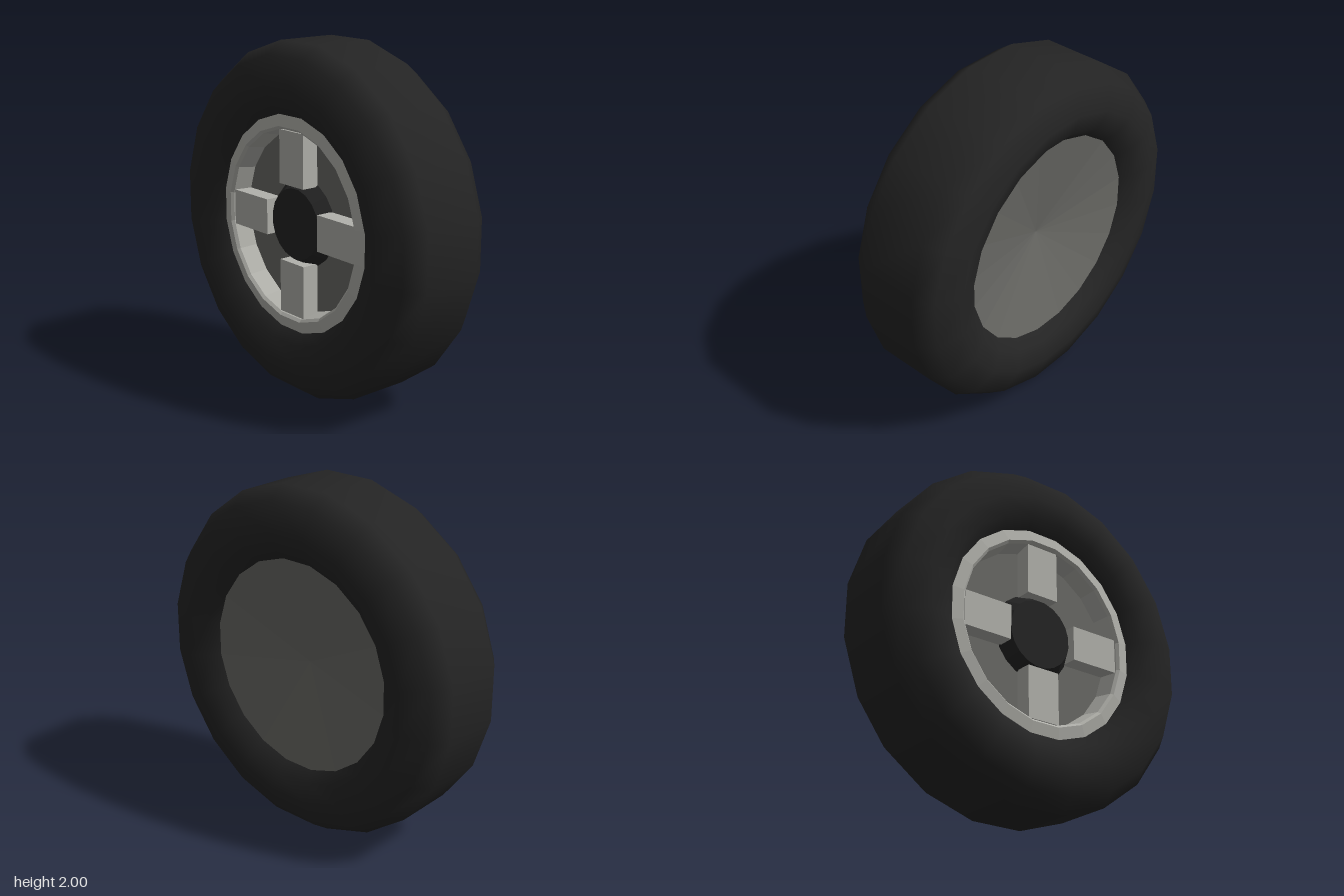
import * as THREE from 'three';

const SIDES = 20;
const HALF_STEP = Math.PI / SIDES;

function material(name, color) {
  const m = new THREE.MeshStandardMaterial({ color });
  m.name = name;
  return m;
}

// Revolves [flat radius, z] points around the z axis, with flats on the x and y axes
function revolve(profile, faceted) {
  const points = profile.map(([r, z]) => new THREE.Vector2(r / Math.cos(HALF_STEP), z));
  let geometry = new THREE.LatheGeometry(points, SIDES, HALF_STEP);
  geometry.rotateX(Math.PI / 2);
  if (faceted) {
    geometry = geometry.toNonIndexed();
    geometry.computeVertexNormals();
  }
  return geometry;
}

export function createModel() {
  const wheel = new THREE.Group();
  wheel.name = 'wheel';
  const rubber = material('black rubber', 0x242424);
  const lightMetal = material('light metal', 0xb2b2ac);
  const darkMetal = material('dark metal', 0x6a6a66);

  function add(name, geometry, mat) {
    const mesh = new THREE.Mesh(geometry, mat);
    mesh.name = name;
    mesh.position.y = 1;
    wheel.add(mesh);
    return mesh;
  }

  // Smooth tire, symmetric front to back
  const side = [[0.61, 0.245], [0.67, 0.3], [0.78, 0.333], [0.93, 0.282], [1, 0.18]];
  const front = side.slice().reverse();
  add('tire', revolve([...side.map(([r, z]) => [r, -z]), ...front], false), rubber);

  // Rim ring with its bevel and the tapering inner wall
  add('rim', revolve([[0.61, 0.245], [0.545, 0.258], [0.53, 0.243], [0.51, 0.14]], true), lightMetal);

  // Front dish and the shallow hollow cone at the back
  add('dish', revolve([[0.51, 0.14], [0, 0.14]], true), darkMetal);
  add('backDisc', revolve([[0, -0.14], [0.61, -0.245]], true), darkMetal);

  // Tapered hub
  add('hub', revolve([[0.25, 0.14], [0.2, 0.215], [0, 0.215]], true), rubber);

  // Four block spokes
  const spoke = new THREE.BoxGeometry(0.205, 0.305, 0.11);
  spoke.translate(0, 0.3725, 0.185);
  for (let i = 0; i < 4; i++) {
    add('spoke' + (i + 1), spoke, lightMetal).rotation.z = i * Math.PI / 2;
  }
  return wheel;
}
